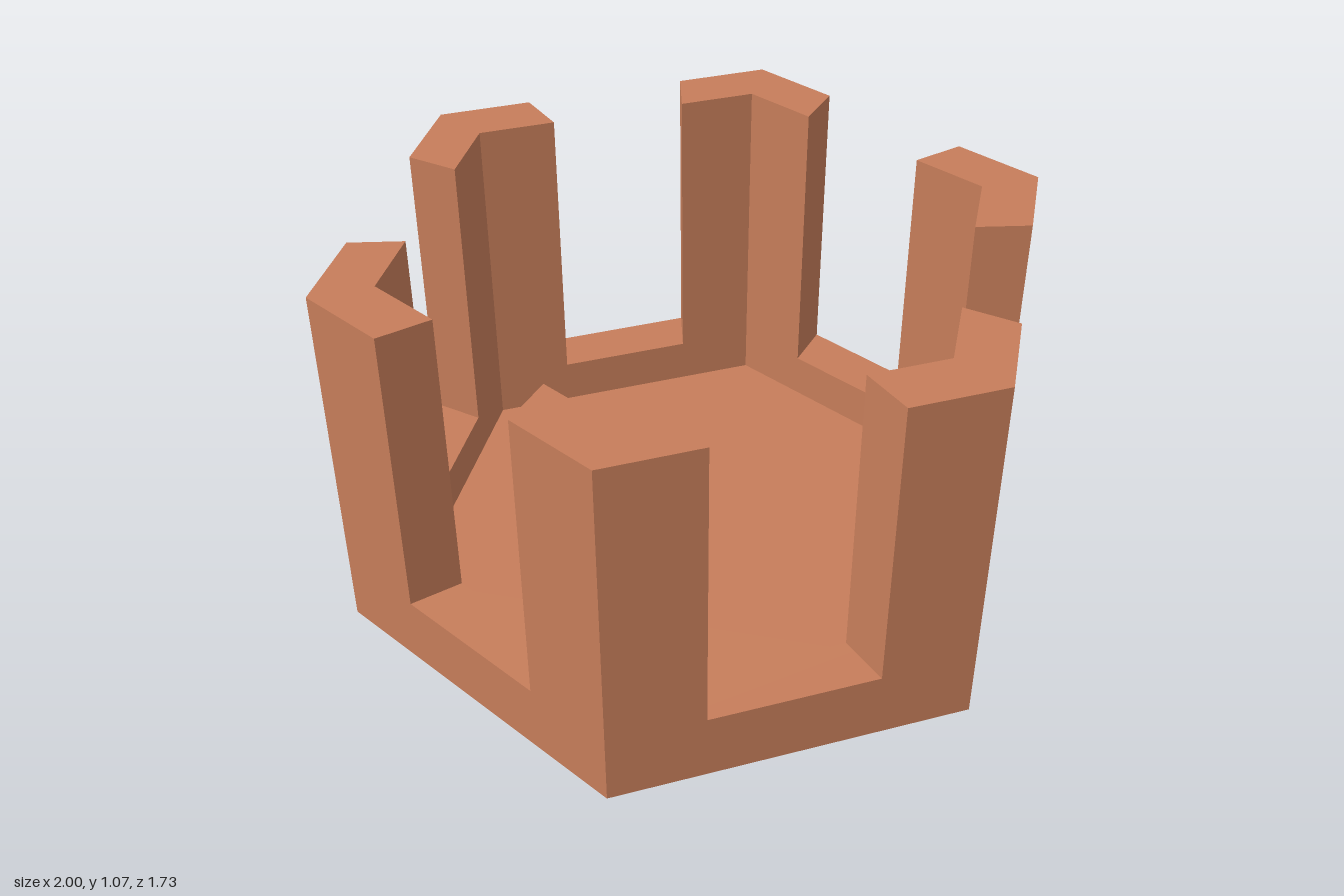
import * as THREE from 'three';

const OUTER = 1;          // corner radius of the outer wall
const INNER = 0.83;       // corner radius of the inner wall
const FLOOR = 0.067;      // floor thickness
const RIM = 0.2;          // height of the low wall
const TOP = 1.067;        // height of the corner posts
const ARM = 0.265;        // length of each post wing along the wall

const clay = new THREE.MeshStandardMaterial({ color: 0xc67d5a });
clay.name = 'clay';

// Corners of a hexagon with points on the x axis
function hexagon(radius) {
  return Array.from({ length: 6 }, (_, i) => {
    const a = i * Math.PI / 3;
    return new THREE.Vector2(Math.cos(a) * radius, Math.sin(a) * radius);
  });
}

// Flat plan raised from one height to another
function raise(name, shape, from, to) {
  const geometry = new THREE.ExtrudeGeometry(shape, { depth: to - from, bevelEnabled: false });
  geometry.rotateX(-Math.PI / 2);
  geometry.translate(0, from, 0);
  const mesh = new THREE.Mesh(geometry, clay);
  mesh.name = name;
  return mesh;
}

export function createModel() {
  const model = new THREE.Group();
  model.name = 'hexagonalTower';

  // Sunken floor inside the wall
  model.add(raise('floor', new THREE.Shape(hexagon(INNER)), 0, FLOOR));

  // Low wall around the floor
  const ring = new THREE.Shape(hexagon(OUTER));
  ring.holes.push(new THREE.Path(hexagon(INNER).reverse()));
  model.add(raise('lowWall', ring, 0, RIM));

  // Bent post on each corner, its ends cut toward the centre
  const wing = new THREE.Vector2(OUTER - ARM * 0.5, ARM * Math.sqrt(3) / 2);
  const outline = [
    new THREE.Vector2(wing.x, -wing.y),
    new THREE.Vector2(OUTER, 0),
    wing,
  ];
  const inside = outline.map((p) => p.clone().multiplyScalar(INNER)).reverse();
  const plan = new THREE.Shape([...outline, ...inside]);
  for (let i = 0; i < 6; i++) {
    const post = raise('cornerPost' + (i + 1), plan, RIM, TOP);
    post.rotation.y = i * Math.PI / 3;
    model.add(post);
  }

  return model;
}
